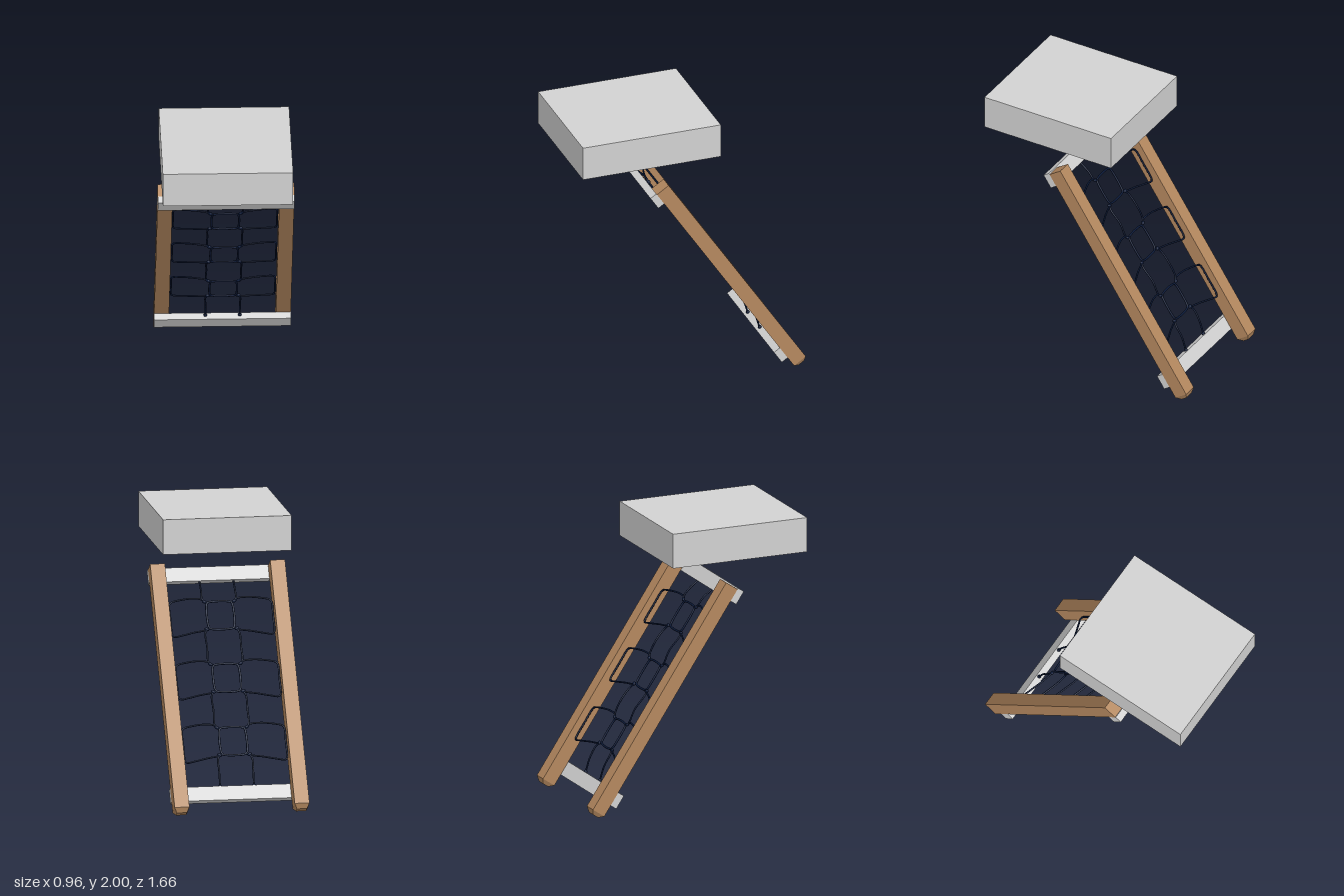
import * as THREE from 'three';

const LEAN = 0.588;             // tilt of the ladder from vertical
const TOP_Y = 1.575, TOP_Z = 0.2425; // centre of the post tops
const POST = 0.105, LENGTH = 1.878;

export function createModel() {
  const model = new THREE.Group();
  model.name = 'inclinedNetLadder';
  const material = (name, color) => {
    const m = new THREE.MeshStandardMaterial({ color });
    m.name = name;
    return m;
  };
  const wood = material('wood', 0xb4885f);
  const grey = material('lightGrey', 0xd2d2d2);
  const navy = material('navyRope', 0x0a1836);

  const add = (parent, name, geometry, mat, x = 0, y = 0, z = 0) => {
    const mesh = new THREE.Mesh(geometry, mat);
    mesh.name = name;
    mesh.position.set(x, y, z);
    parent.add(mesh);
    return mesh;
  };

  // Platform block above the ladder
  add(model, 'platform', new THREE.BoxGeometry(0.915, 0.25, 1.03), grey, -0.002, 1.875, 0.315);

  // Ladder frame: local y runs up the slope, local z points out of its front
  const ladder = new THREE.Group();
  ladder.name = 'ladder';
  ladder.position.set(0, TOP_Y, TOP_Z);
  ladder.rotation.x = LEAN;
  model.add(ladder);

  // Square posts with a chamfered foot
  const box = new THREE.BoxGeometry(POST, LENGTH, POST, 1, 2, 1);
  const p = box.attributes.position;
  for (let i = 0; i < p.count; i++) {
    const y = p.getY(i);
    if (Math.abs(y) < 0.01) p.setY(i, -LENGTH / 2 + 0.03);
    else if (y < 0) p.setXYZ(i, p.getX(i) * 0.68, y, p.getZ(i) * 0.43);
  }
  const postGeometry = box.toNonIndexed();
  postGeometry.computeVertexNormals();
  for (const side of [-1, 1]) {
    add(ladder, side > 0 ? 'leftPost' : 'rightPost', postGeometry, wood, side * 0.4275, -LENGTH / 2, 0);
  }

  // Cross beams on the front of the posts
  const beam = new THREE.BoxGeometry(0.96, 0.106, 0.052);
  add(ladder, 'topBeam', beam, grey, 0, -0.044, 0.0785);
  add(ladder, 'bottomBeam', beam, grey, 0, -1.708, 0.0785);

  // Rope net: points are [x, height above ground, offset out of the slope]
  const net = new THREE.Group();
  net.name = 'ropeNet';
  ladder.add(net);
  const toLocal = ([x, y, v]) =>
    new THREE.Vector3(x, (y - TOP_Y + Math.sin(LEAN) * v) / Math.cos(LEAN), v);
  const rope = (name, points, radius = 0.0065, closed = false) => {
    const curve = new THREE.CatmullRomCurve3(points.map(toLocal), closed, 'centripetal');
    add(net, name, new THREE.TubeGeometry(curve, points.length * 5, radius, 8, closed), navy);
  };

  const V = 0.046;              // offset of the middle of the net
  const rows = [0.367, 0.767, 1.162];
  const H = 0.166;
  rows.forEach((y, i) => {
    // Central square loop
    const a = 0.091, c = 0.01;
    rope('centreLoop', [
      [-a + c, y, V], [a - c, y, V], [a, y + c, V], [a, y + H - c, V],
      [a - c, y + H, V], [-a + c, y + H, V], [-a, y + H - c, V], [-a, y + c, V],
    ], 0.0078, true);

    for (const s of [-1, 1]) {
      // Side loop reaching out to the post
      rope('sideLoop', [
        [0.088, y + H, V], [0.108, y + H + 0.008, V], [0.128, y + H + 0.022, V - 0.003],
        [0.2, y + H + 0.031, 0.031], [0.29, y + H + 0.027, 0.012],
        [0.35, y + H + 0.017, 0], [0.363, y + H + 0.005, 0],
        [0.365, y + 0.08, 0], [0.362, y - 0.022, 0], [0.35, y - 0.034, 0],
        [0.29, y - 0.029, 0.012], [0.2, y - 0.017, 0.031],
        [0.128, y - 0.01, V - 0.003], [0.108, y - 0.006, V], [0.088, y, V],
      ].map(([x, h, v]) => [s * x, h, v]));

      // Knots at the corners of the square
      for (const h of [y - 0.002, y + H + 0.006]) {
        const knot = add(net, 'knot', new THREE.SphereGeometry(0.013, 10, 8), navy);
        knot.position.copy(toLocal([s * 0.107, h, V - 0.003]));
        knot.scale.set(1.35, 0.9, 0.9);
        knot.rotation.z = s * 0.5;
      }

      // Hanging rope to the next square up, or to the top beam
      const x = s * 0.121, start = y + H;
      if (i < 2) {
        const end = rows[i + 1];
        rope('linkRope', [
          [s * 0.1, start, V], [x, start + 0.025, V - 0.006],
          [x, (start + end) / 2, 0.026], [x, end - 0.025, V - 0.006], [s * 0.1, end, V],
        ]);
      } else {
        rope('topRope', [[s * 0.1, start, V], [x, start + 0.025, V - 0.006], [x, 1.4, 0.045], [x, 1.46, 0.075]]);
      }
      // Lower tie to the bottom beam
      if (i === 0) {
        rope('bottomRope', [[s * 0.1, y, V], [x, y - 0.025, V - 0.006], [x, 0.26, 0.045], [x, 0.155, 0.075]]);
        add(net, 'bottomTie', new THREE.SphereGeometry(0.013, 10, 8), navy)
          .position.copy(toLocal([x, 0.162, 0.072]));
      }
    }
  });

  return model;
}
